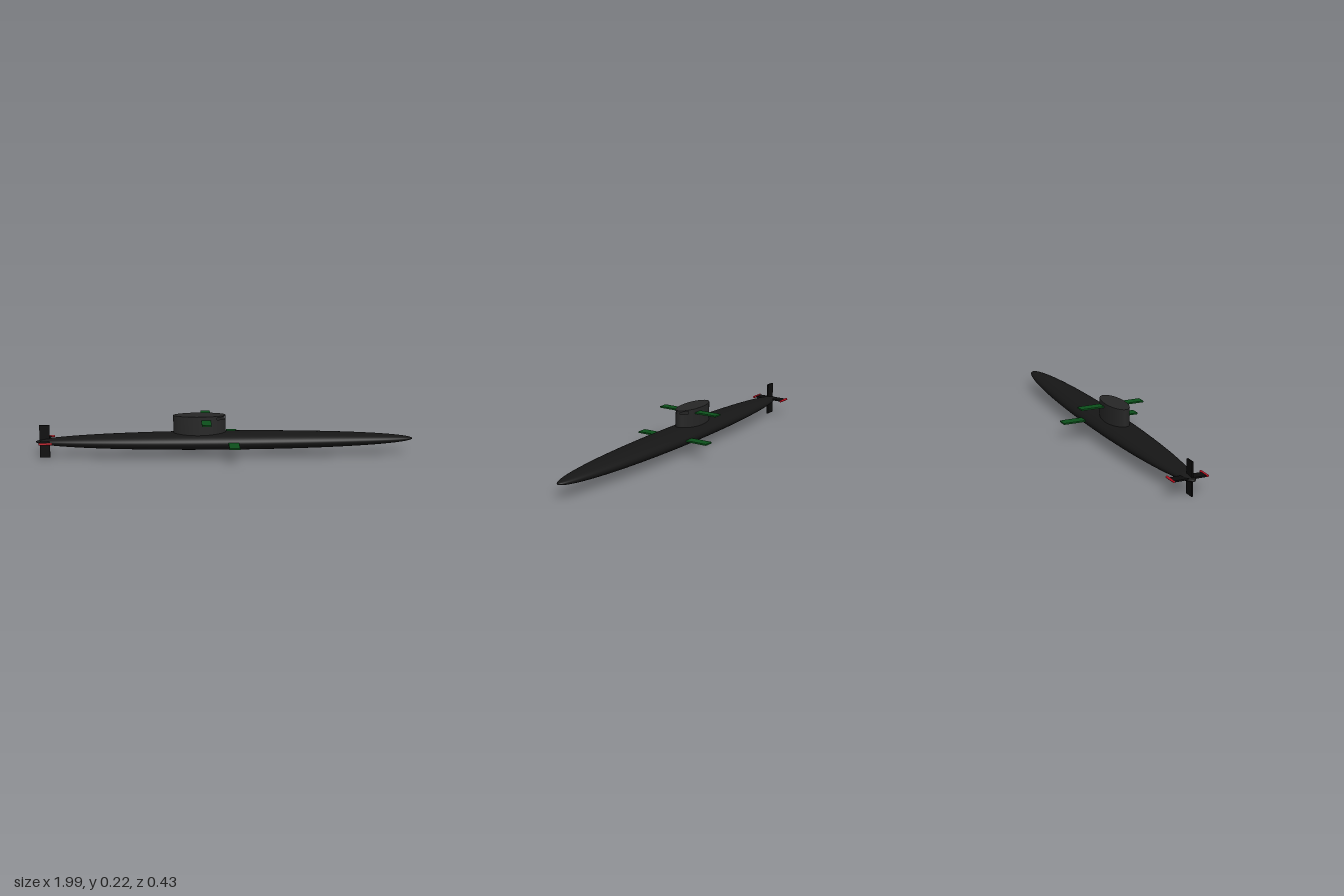
import * as THREE from 'three';

const paint = (color, side = THREE.FrontSide) => new THREE.MeshStandardMaterial({ color, side });

export function createModel() {
  const model = new THREE.Group();
  const black = paint(0x161616);
  const finBlack = paint(0x0c0c0c);
  const sailGrey = paint(0x262626, THREE.DoubleSide);
  const green = paint(0x0b4f1a);
  const red = paint(0xc01020);
  const midZ = 0.006;

  const add = (name, geometry, material, x, y, z, parent = model) => {
    const mesh = new THREE.Mesh(geometry, material);
    mesh.name = name;
    mesh.position.set(x, y, z);
    parent.add(mesh);
    return mesh;
  };

  // Long flattened hull
  const hull = new THREE.SphereGeometry(1, 64, 48);
  hull.rotateZ(-Math.PI / 2);
  hull.scale(0.996, 0.0465, 0.098);
  add('hull', hull, black, -0.004, 0.085, midZ);

  // Hollow oval sail, with a band of two forward windows below its roof
  const sail = new THREE.Group();
  sail.name = 'sail';
  model.add(sail);
  const wall = (name, y0, y1, from = 0, to = Math.PI * 2) => {
    const g = new THREE.CylinderGeometry(1, 1, y1 - y0, 48, 1, true, Math.PI / 2 - to, to - from);
    // angles run from the bow (+x) towards +z
    g.scale(0.138, 1, 0.056);
    add(name, g, sailGrey, -0.139, (y0 + y1) / 2, midZ, sail);
  };
  wall('sailWall', 0.1, 0.203);
  wall('windowPost', 0.203, 0.215, -0.2, 0.18);
  wall('windowBandWall', 0.203, 0.215, 0.85, Math.PI * 2 - 0.79);
  wall('sailRim', 0.215, 0.222);
  const roof = new THREE.CircleGeometry(1, 48);
  roof.rotateX(-Math.PI / 2);
  roof.scale(0.138, 1, 0.056);
  add('sailRoof', roof, sailGrey, -0.139, 0.222, midZ, sail);

  // Diving planes on the sail and hull, stern planes with red tips
  for (const s of [1, -1]) {
    const side = s > 0 ? 'left' : 'right';
    add(side + 'SailPlane', new THREE.BoxGeometry(0.05, 0.008, 0.127), green, -0.105, 0.2, s * 0.1135);
    add(side + 'HullPlane', new THREE.BoxGeometry(0.055, 0.008, 0.145), green, 0.038, 0.087, s * 0.1425);
    add(side + 'SternPlane', new THREE.BoxGeometry(0.05, 0.008, 0.09), finBlack, -0.95, 0.09, s * 0.045);
    const tip = new THREE.CylinderGeometry(0.006, 0.006, 0.07, 16);
    tip.rotateZ(Math.PI / 2);
    add(side + 'SternPlaneTip', tip, red, -0.943, 0.092, s * 0.09);
  }

  // Upright rudder through the stern
  add('rudder', new THREE.BoxGeometry(0.053, 0.174, 0.008), finBlack, -0.953, 0.088, 0.008);
  return model;
}
